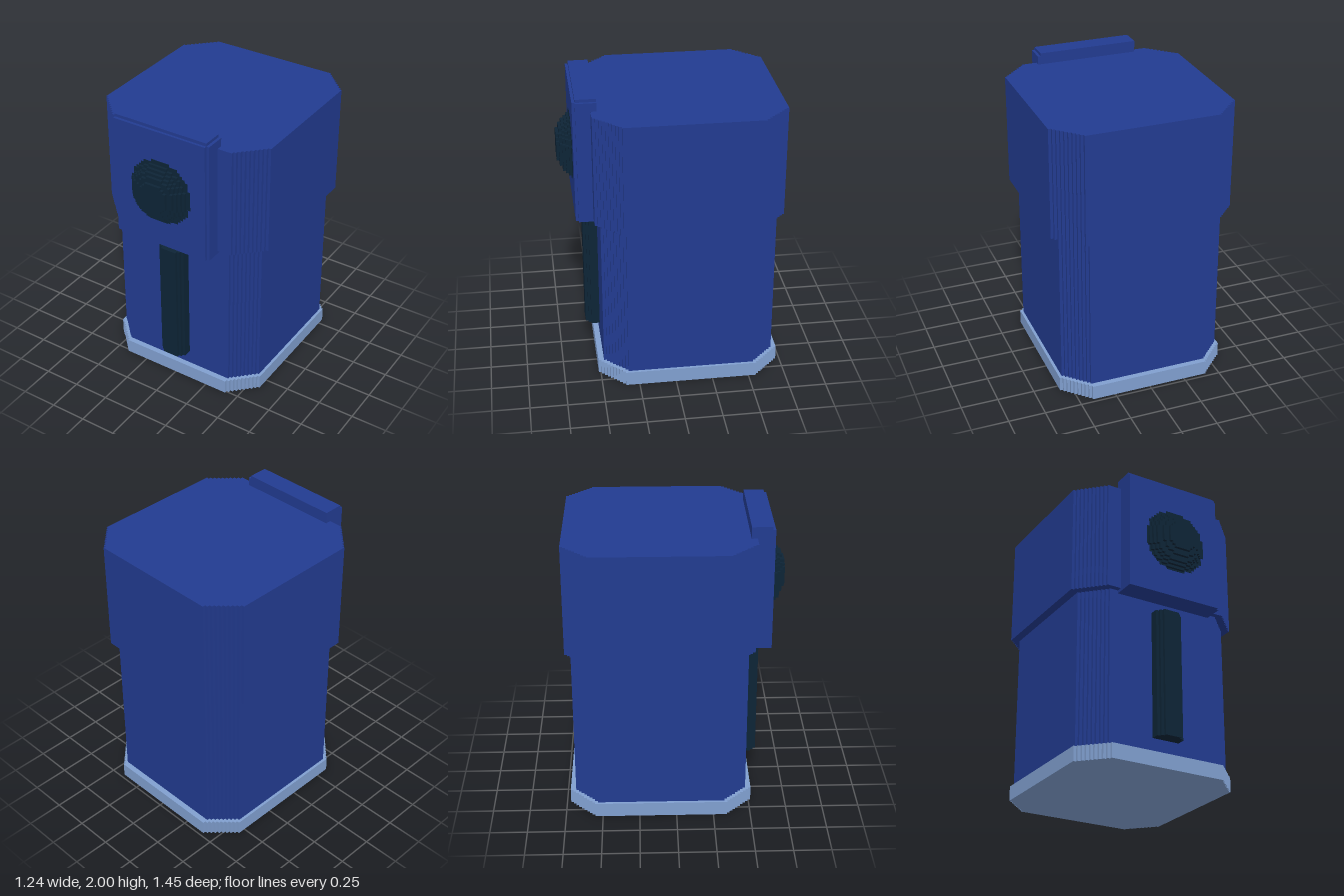
import * as THREE from 'three';

const U = 2 / 105; // step size of the blocky style

// Closed shape from half-widths of stacked rows, mirrored about its centre line
function rowShape(rows, y0) {
  const right = [];
  rows.forEach((w, i) => {
    if (i === 0 || w !== rows[i - 1]) {
      if (i > 0) right.push([rows[i - 1], y0 + i * U]);
      right.push([w, y0 + i * U]);
    }
  });
  right.push([rows[rows.length - 1], y0 + rows.length * U]);
  const left = right.map(([x, y]) => [-x, y]).reverse();
  return new THREE.Shape([...right, ...left].map(([x, y]) => new THREE.Vector2(x, y)));
}

// Rectangle with corners cut in small steps
function steppedRect(width, back, front, steps) {
  const n = front - back;
  const rows = Array.from({ length: n }, (_, k) =>
    (width / 2 - Math.max(0, steps - Math.min(k, n - 1 - k))) * U);
  return rowShape(rows, -front * U);
}

// Circle drawn in small steps
function steppedDisc(diameter) {
  const r = diameter / 2;
  const odd = (diameter % 2) / 2;
  const rows = Array.from({ length: diameter }, (_, k) => {
    const y = k + 0.5 - r;
    return (Math.round(Math.sqrt((r + 0.2) ** 2 - y * y) - odd) + odd) * U;
  });
  return rowShape(rows, -r * U);
}

const extrude = (shape, depth) =>
  new THREE.ExtrudeGeometry(shape, { depth, bevelEnabled: false });

export function createModel() {
  const group = new THREE.Group();
  const material = (name, color) => {
    const m = new THREE.MeshStandardMaterial({ color });
    m.name = name;
    return m;
  };
  const blue = material('blue', 0x223b90);
  const paleBlue = material('paleBlue', 0x809fcf);
  const dark = material('darkNavy', 0x0d2436);

  const add = (name, geometry, mat) => {
    const mesh = new THREE.Mesh(geometry, mat);
    mesh.name = name;
    group.add(mesh);
    return mesh;
  };
  const upright = (name, shape, y0, y1, mat) =>
    add(name, extrude(shape, y1 - y0).rotateX(-Math.PI / 2).translate(0, y0, 0), mat);
  const box = (name, x0, x1, y0, y1, z0, z1, mat) =>
    add(name, new THREE.BoxGeometry(x1 - x0, y1 - y0, z1 - z0)
      .translate((x0 + x1) / 2, (y0 + y1) / 2, (z0 + z1) / 2), mat);

  // Stacked housing
  upright('base', steppedRect(61, -38, 27, 9), 0, 0.1, paleBlue);
  upright('body', steppedRect(59, -36, 25, 8), 0.1, 1.171, blue);
  upright('head', steppedRect(65, -38, 27, 9), 1.171, 1.923, blue);

  // Front panel with a one-step rebate along its top and left edges
  box('facePanel', -0.349, 0.328, 1.15, 1.98, 0.475, 0.628, blue);
  box('facePanelTopEdge', -0.349, 0.328, 1.98, 2, 0.475, 0.609, blue);
  box('facePanelSideEdge', 0.328, 0.347, 1.15, 1.98, 0.475, 0.609, blue);

  // Lens: a flush rim, then shrinking discs
  add('lensRim', extrude(steppedDisc(23), 0.008).translate(0, 1.557, 0.623), dark);
  [21, 19, 17, 14, 10].forEach((d, i) => {
    add('lensLayer' + (i + 1), extrude(steppedDisc(d), U + 0.002)
      .translate(-(d % 2) * U / 2, 1.557 - (d % 2) * U / 2, 0.627 + i * U), dark);
  });

  // Rounded vertical bar down the front
  upright('frontBar', steppedDisc(10), 0.2, 1.072, dark).position.z = 25 * U;

  return group;
}
